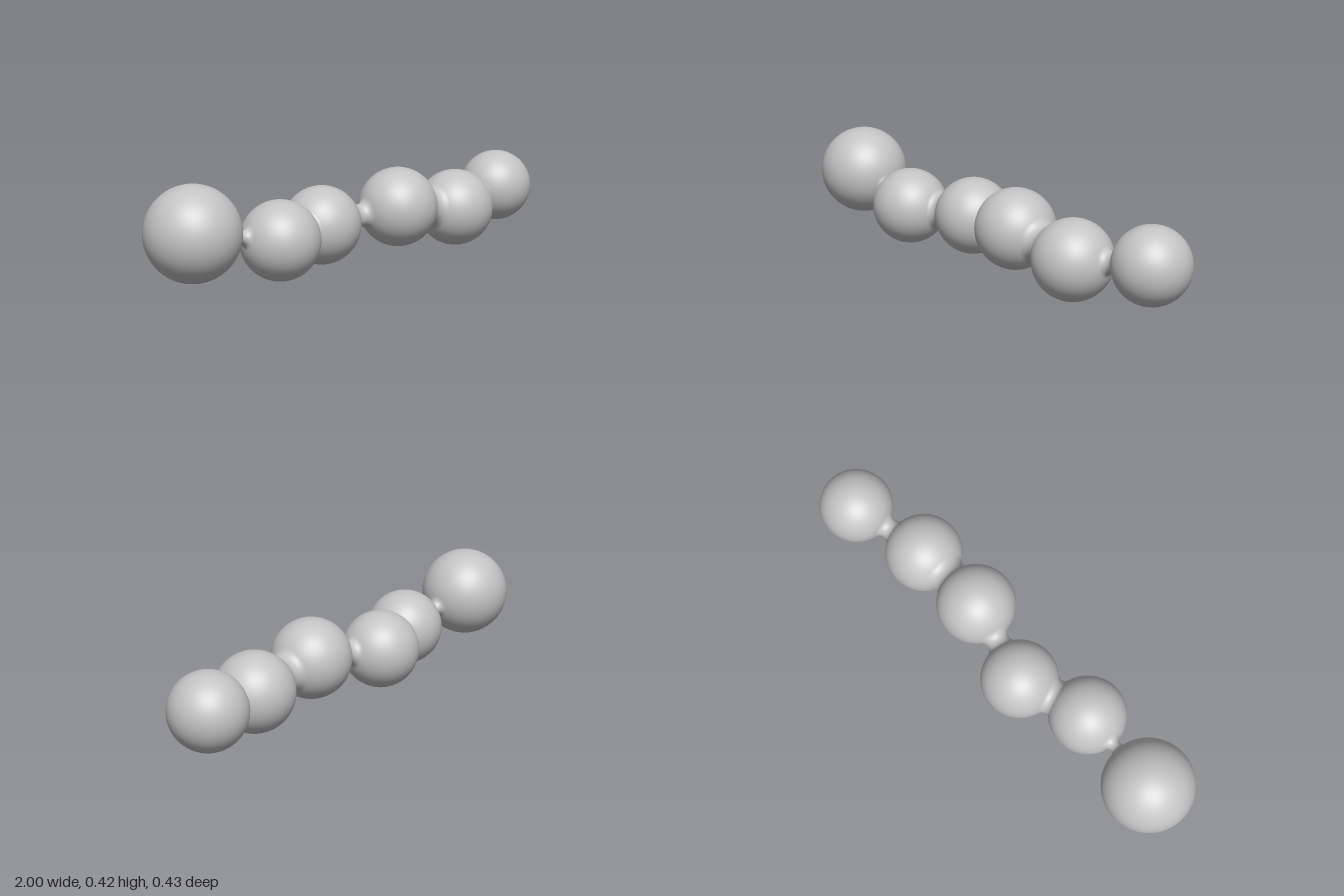
import * as THREE from 'three';

// Beads from the model's right to its left: centre x, y, z and radius
const BEADS = [
  [-0.816, 0.238, -0.031, 0.183],
  [-0.442, 0.164, 0.027, 0.156],
  [-0.147, 0.167, -0.057, 0.157],
  [0.191, 0.206, 0.035, 0.161],
  [0.516, 0.161, 0.054, 0.159],
  [0.849, 0.204, -0.008, 0.151],
];
// Narrowest radius of the neck between each pair of neighbours
const NECKS = [0.024, 0.074, 0.046, 0.077, 0.042];

// Concave arc that touches both spheres and narrows to the given radius
function neckProfile(r1, r2, d, neck) {
  const along = (f) => (d * d + (r1 + f) ** 2 - (r2 + f) ** 2) / (2 * d);
  let low = 0, high = 2;
  for (let i = 0; i < 50; i++) {
    const f = (low + high) / 2;
    if ((r1 + f) ** 2 - (neck + f) ** 2 - along(f) ** 2 < 0) low = f;
    else high = f;
  }
  const f = (low + high) / 2, a = along(f), h = neck + f;
  const start = Math.atan2(a, h), end = Math.atan2(d - a, h);
  const points = [];
  for (let i = 0; i <= 16; i++) {
    const t = -start + (start + end) * (i / 16);
    points.push(new THREE.Vector2(h - f * Math.cos(t), a + f * Math.sin(t)));
  }
  return points;
}

export function createModel() {
  const model = new THREE.Group();
  model.name = 'beadChain';
  const grey = new THREE.MeshStandardMaterial({ color: 0xc4c4c4 });
  grey.name = 'lightGrey';

  const centres = BEADS.map(([x, y, z]) => new THREE.Vector3(x, y, z));

  // Round beads
  BEADS.forEach((bead, i) => {
    const mesh = new THREE.Mesh(new THREE.SphereGeometry(bead[3], 48, 32), grey);
    mesh.name = `bead${i + 1}`;
    mesh.position.copy(centres[i]);
    model.add(mesh);
  });

  // Smooth necks blending each bead into the next
  NECKS.forEach((neck, i) => {
    const axis = centres[i + 1].clone().sub(centres[i]);
    const profile = neckProfile(BEADS[i][3], BEADS[i + 1][3], axis.length(), neck);
    const mesh = new THREE.Mesh(new THREE.LatheGeometry(profile, 40), grey);
    mesh.name = `neck${i + 1}`;
    mesh.position.copy(centres[i]);
    mesh.quaternion.setFromUnitVectors(new THREE.Vector3(0, 1, 0), axis.normalize());
    model.add(mesh);
  });

  return model;
}
